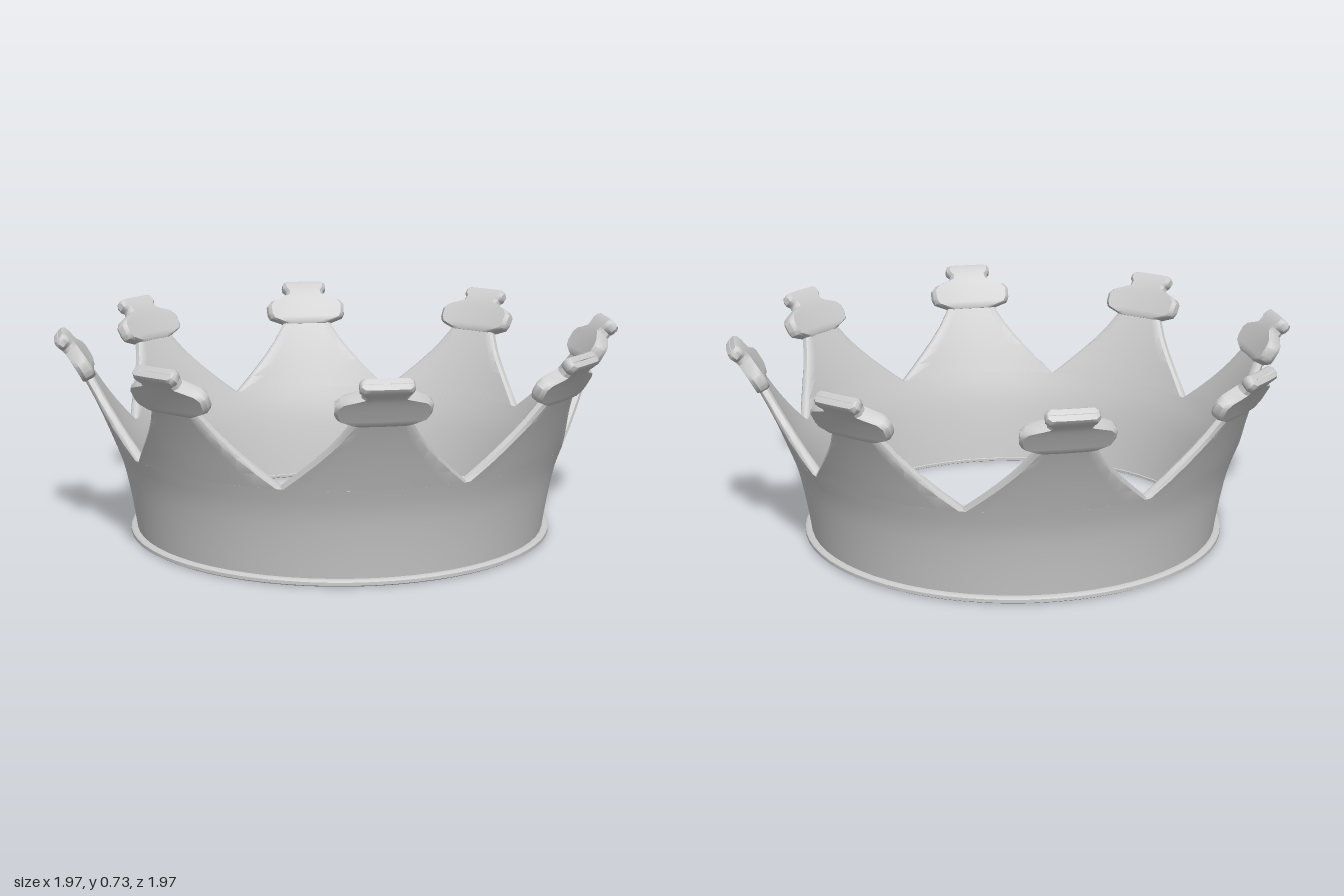
import * as THREE from 'three';
import { toCreasedNormals } from 'three/addons/utils/BufferGeometryUtils.js';

const TEETH = 8, SECTOR = Math.PI * 2 / TEETH, VALLEY = 0.34, HALF = 0.017;

// Flaring wall: centre line as (radius, height)
const wall = new THREE.SplineCurve([
  [0.702, 0], [0.722, 0.13], [0.747, 0.25], [0.778, 0.34], [0.822, 0.45],
  [0.868, 0.55], [0.905, 0.62], [0.943, 0.68], [0.983, 0.717],
].map(p => new THREE.Vector2(...p)));

// Point on the wall at height y, moved by t along the outward normal
function wallAt(y, t) {
  let lo = 0, hi = 1;
  for (let i = 0; i < 30; i++) {
    const mid = (lo + hi) / 2;
    if (wall.getPoint(mid).y < y) lo = mid; else hi = mid;
  }
  const p = wall.getPoint(lo), d = wall.getTangent(lo);
  return { mid: p.x, r: p.x + d.y * t, y: p.y - d.x * t };
}

// Curved plate following the wall; rows are [height, half width, half thickness]
function plate(rows, cols = 8, bevel = 0.012) {
  const pos = [], index = [];
  for (const [y, w, t] of rows) {
    const inner = Math.max(w - bevel, w * 0.4);
    const loop = [[-w, t * 0.5]];
    for (let i = 0; i <= cols; i++) loop.push([inner * (2 * i / cols - 1), t]);
    loop.push([w, t * 0.5]);
    const back = loop.map(([s, k]) => [s, -k]).reverse();
    for (const [s, k] of [...loop, ...back]) {
      const p = wallAt(y, k), a = s / p.mid;
      pos.push(p.r * Math.cos(a), p.y, p.r * Math.sin(a));
    }
  }
  const n = (cols + 3) * 2;
  for (let i = 0; i < rows.length - 1; i++) {
    for (let j = 0; j < n; j++) {
      const a = i * n + j, b = i * n + (j + 1) % n;
      index.push(b, a, a + n, b, a + n, b + n);
    }
  }
  const g = new THREE.BufferGeometry();
  g.setAttribute('position', new THREE.Float32BufferAttribute(pos, 3));
  g.setIndex(index);
  return toCreasedNormals(g, 0.75);
}

export function createModel() {
  const crown = new THREE.Group();
  crown.name = 'crown';
  const mat = new THREE.MeshStandardMaterial({ color: 0xcccccc });
  const add = (name, geo, parent = crown) => {
    const m = new THREE.Mesh(geo, mat);
    m.name = name;
    parent.add(m);
  };
  const lathe = pts => toCreasedNormals(
    new THREE.LatheGeometry(pts.map(p => new THREE.Vector2(...p)), 64), 0.75);

  // Band: solid ring up to the valleys
  const outer = [], inner = [];
  for (let i = 0; i <= 8; i++) {
    const y = 0.004 + (VALLEY - 0.004) * i / 8;
    const o = wallAt(y, HALF), n = wallAt(y, -HALF);
    outer.push([o.r, o.y]);
    inner.unshift([n.r, n.y]);
  }
  add('band', lathe([...outer, ...inner, outer[0]]));

  // Base rim: thin lip around the bottom
  add('baseRim', lathe([
    [0.684, 0.003], [0.69, 0], [0.736, 0], [0.745, 0.005], [0.745, 0.016],
    [0.738, 0.022], [0.7, 0.022], [0.684, 0.012], [0.684, 0.003],
  ]));

  // Pointed teeth rising from the band
  const baseWidth = wallAt(VALLEY, 0).mid * SECTOR / 2;
  const tooth = plate([
    [VALLEY, baseWidth], [0.39, 0.251], [0.44, 0.2], [0.48, 0.163],
    [0.52, 0.13], [0.575, 0.095], [0.63, 0.06], [0.685, 0.015],
  ].map(([y, w]) => [y, w, HALF]));

  // Three-lobed finial: two side lobes and a cap
  const T = 0.025;
  const finial = plate([
    [0.572, 0.08, 0.001], [0.573, 0.085, T * 0.75], [0.582, 0.105, T],
    [0.596, 0.143, T], [0.612, 0.152, T], [0.642, 0.154, T], [0.657, 0.138, T],
    [0.668, 0.1, T], [0.676, 0.075, T], [0.688, 0.073, T], [0.697, 0.085, T],
    [0.709, 0.086, T], [0.716, 0.08, T * 0.8], [0.717, 0.076, 0.001],
  ]);

  for (let i = 0; i < TEETH; i++) {
    const point = new THREE.Group();
    point.name = 'point' + (i + 1);
    point.rotation.y = -(i + 0.25) * SECTOR;
    add('tooth', tooth, point);
    add('finial', finial, point);
    crown.add(point);
  }
  return crown;
}
